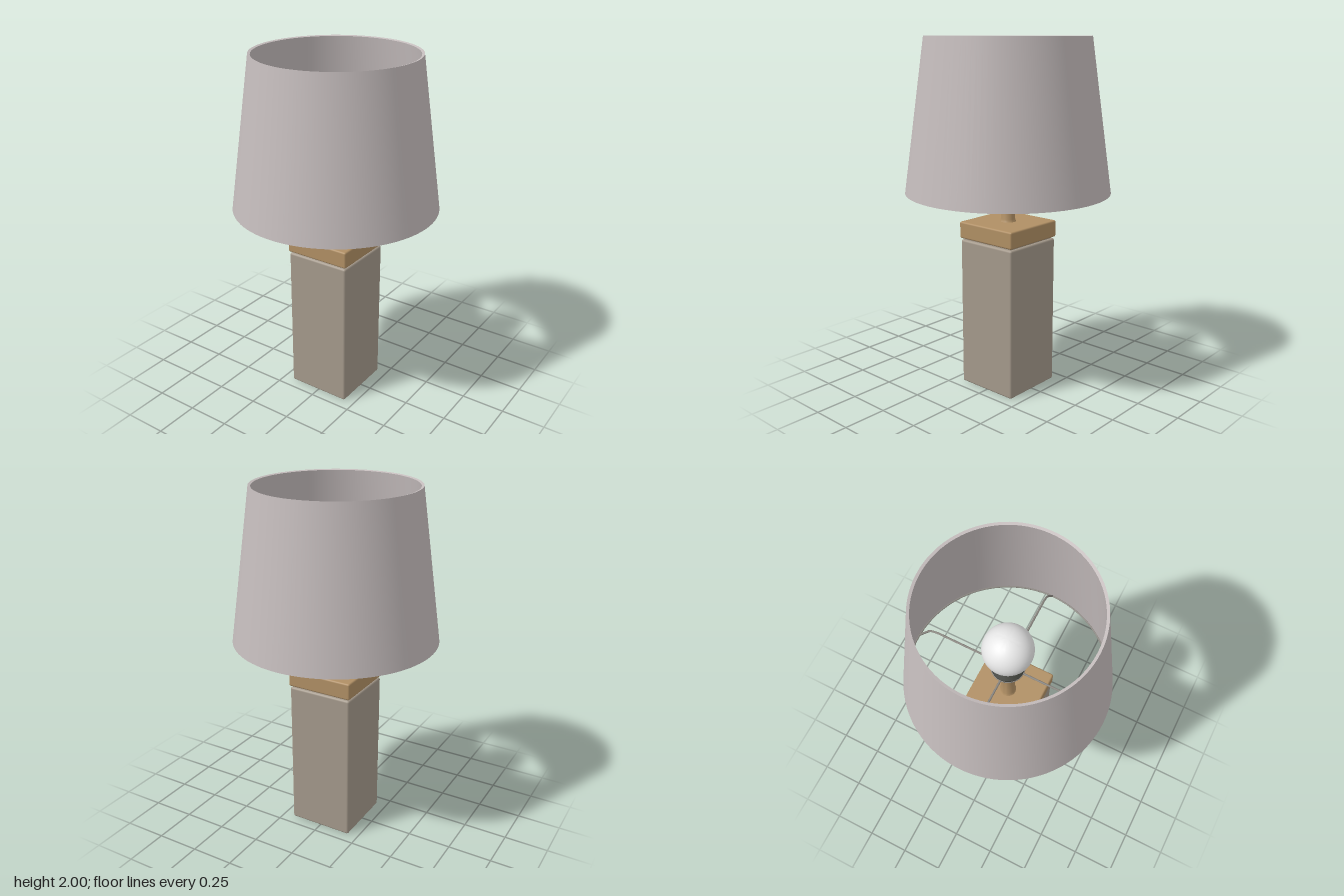
import * as THREE from 'three';
import { RoundedBoxGeometry } from 'three/addons/geometries/RoundedBoxGeometry.js';
import { toCreasedNormals } from 'three/addons/utils/BufferGeometryUtils.js';

function material(name, color) {
  const m = new THREE.MeshStandardMaterial({ color });
  m.name = name;
  return m;
}

// Surface of revolution from [radius, height] pairs, listed bottom to top on the outside
function lathe(points, segments = 48, crease = 0.6) {
  const profile = points.map(([r, y]) => new THREE.Vector2(r, y));
  return toCreasedNormals(new THREE.LatheGeometry(profile, segments), crease);
}

export function createModel() {
  const lamp = new THREE.Group();
  lamp.name = 'tableLamp';

  const fabric = material('fabric grey', 0xc4bcbc);
  const stone = material('stone taupe', 0xa4998b);
  const brass = material('warm brass', 0xb08f64);
  const wire = material('wire grey', 0x8a8680);
  const dark = material('socket black', 0x33352e);
  const glass = material('bulb white', 0xe8e8e8);

  const add = (name, geometry, mat, y = 0, parent = lamp) => {
    const mesh = new THREE.Mesh(geometry, mat);
    mesh.name = name;
    mesh.position.y = y;
    parent.add(mesh);
    return mesh;
  };

  // Square column, with a slim recess below its cap
  add('column', new RoundedBoxGeometry(0.38, 0.87, 0.38, 3, 0.012), stone, 0.435);
  add('recess', new THREE.BoxGeometry(0.35, 0.03, 0.35), stone, 0.872);
  add('cap', new RoundedBoxGeometry(0.39, 0.097, 0.39, 3, 0.01), brass, 0.927);

  // Stem with a small flare at the foot and a ribbed collar at the top
  add('stem', lathe([
    [0.048, 0.972], [0.044, 0.98], [0.04, 0.99], [0.04, 1.17], [0.045, 1.175],
    [0.045, 1.185], [0.04, 1.19], [0.045, 1.195], [0.045, 1.205], [0, 1.205],
  ], 32), brass);

  // Stepped lamp holder
  add('socket', lathe([
    [0, 1.2], [0.048, 1.2], [0.054, 1.25], [0.07, 1.255], [0.07, 1.285],
    [0.06, 1.29], [0.06, 1.3], [0.09, 1.305], [0.09, 1.33], [0.06, 1.335],
    [0.06, 1.36], [0, 1.36],
  ], 40), dark);

  // Bulb: neck blending into a globe
  const bulb = [[0.062, 1.35], [0.064, 1.38], [0.072, 1.41], [0.085, 1.44]];
  for (let i = 0; i <= 16; i++) {
    const a = THREE.MathUtils.lerp(-0.75, Math.PI / 2, i / 16);
    bulb.push([0.135 * Math.cos(a), 1.55 + 0.135 * Math.sin(a)]);
  }
  add('bulb', lathe(bulb, 40, 1.2), glass);

  // Tapered shade with a real wall thickness
  add('shade', lathe([
    [0.56, 1.15], [0.575, 1.15], [0.455, 2], [0.441, 1.996], [0.56, 1.15],
  ], 96), fabric);

  // Wire frame: lower ring, hub and four arms bent down to the rim
  const frame = new THREE.Group();
  frame.name = 'shadeFrame';
  lamp.add(frame);
  const ring = (name, radius, y) => {
    const mesh = add(name, new THREE.TorusGeometry(radius, 0.006, 8, 72), wire, y, frame);
    mesh.rotation.x = Math.PI / 2;
  };
  ring('lowerRing', 0.557, 1.157);
  ring('hubRing', 0.088, 1.318);

  const path = new THREE.CurvePath();
  const p = (x, y) => new THREE.Vector3(x, y, 0);
  path.add(new THREE.LineCurve3(p(0.08, 1.318), p(0.41, 1.318)));
  path.add(new THREE.QuadraticBezierCurve3(p(0.41, 1.318), p(0.46, 1.318), p(0.485, 1.28)));
  path.add(new THREE.LineCurve3(p(0.485, 1.28), p(0.557, 1.157)));
  const armGeometry = new THREE.TubeGeometry(path, 40, 0.006, 8);
  for (let i = 0; i < 4; i++) {
    add('frameArm', armGeometry, wire, 0, frame).rotation.y = i * Math.PI / 2;
  }

  return lamp;
}
